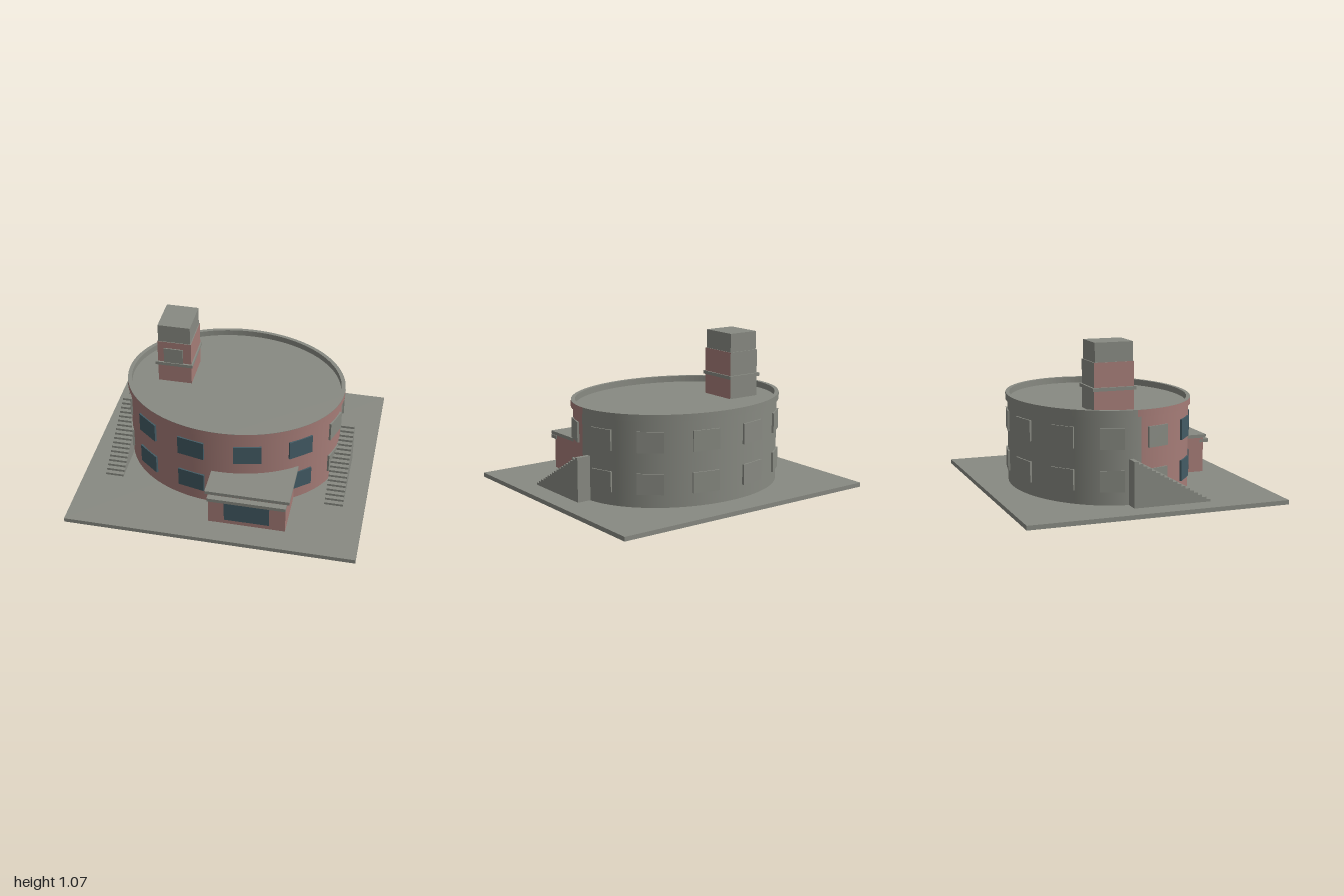
import * as THREE from 'three';

export function createModel() {
  const root = new THREE.Group();
  const mat = (name, color) => {
    const m = new THREE.MeshStandardMaterial({ color });
    m.name = name;
    return m;
  };
  const red = mat('brick red', 0xa57c77);
  const grey = mat('concrete grey', 0x888a82);
  const glass = mat('window glass', 0x435b64);

  const add = (name, geometry, material, parent = root) => {
    const mesh = new THREE.Mesh(geometry, material);
    mesh.name = name;
    parent.add(mesh);
    return mesh;
  };
  // Box given by its minimum and maximum on each axis
  const block = (name, [x0, x1], [y0, y1], [z0, z1], material, parent = root) => {
    const g = new THREE.BoxGeometry(x1 - x0, y1 - y0, z1 - z0);
    g.translate((x0 + x1) / 2, (y0 + y1) / 2, (z0 + z1) / 2);
    return add(name, g, material, parent);
  };
  const group = (name) => {
    const g = new THREE.Group();
    g.name = name;
    root.add(g);
    return g;
  };

  block('base', [-1, 1], [0, 0.03], [-0.9, 0.9], grey);

  // Oval drum: painted front arc, bare back arc
  const CZ = -0.083, A = 0.755, B = 0.61;
  const arc = (name, a, b, y0, y1, from, to, material, parent) => {
    const start = THREE.MathUtils.degToRad(from);
    const length = THREE.MathUtils.degToRad(to - from);
    const g = new THREE.CylinderGeometry(1, 1, y1 - y0, 64, 1, true, start, length);
    g.scale(a, 1, b);
    g.translate(0, (y0 + y1) / 2, CZ);
    return add(name, g, material, parent);
  };
  const drum = group('drum');
  arc('frontWall', A, B, 0.03, 0.61, -87, 87, red, drum);
  arc('backWall', A, B, 0.03, 0.61, 87, 273, grey, drum);

  // Parapet: outer band, top ring with underside, inner face
  const parapet = group('parapet');
  const ellipse = (a, b, Kind = THREE.Shape) =>
    new Kind().absellipse(0, 0, a, b, 0, Math.PI * 2, false, 0);
  arc('frontBand', 0.77, 0.625, 0.61, 0.655, -90, 90, red, parapet);
  arc('backBand', 0.77, 0.625, 0.61, 0.655, 90, 270, grey, parapet);
  const ringShape = ellipse(0.768, 0.623);
  ringShape.holes.push(ellipse(0.74, 0.597, THREE.Path));
  const ring = new THREE.ExtrudeGeometry(ringShape, { depth: 0.045, bevelEnabled: false, curveSegments: 64 });
  ring.rotateX(-Math.PI / 2).translate(0, 0.61, CZ);
  add('parapetRing', ring, grey, parapet);
  const deck = new THREE.ShapeGeometry(ellipse(0.75, 0.605), 64);
  deck.rotateX(-Math.PI / 2).translate(0, 0.612, CZ);
  add('roofDeck', deck, grey);

  // Two rows of twelve flat window panels around the drum
  const windows = group('windows');
  const onWall = (deg) => {
    const t = THREE.MathUtils.degToRad(deg);
    return new THREE.Vector3(A * Math.sin(t), 0, CZ + B * Math.cos(t));
  };
  for (const y of [0.19, 0.47]) {
    for (let deg = -165; deg <= 165; deg += 30) {
      if (y < 0.3 && deg === 15) continue; // covered by the entrance
      const p = onWall(deg - 7.4), q = onWall(deg + 7.4);
      const along = q.clone().sub(p);
      const g = new THREE.BoxGeometry(along.length(), 0.14, 0.022);
      const pane = add('window', g, Math.abs(deg) < 60 ? glass : grey, windows);
      pane.position.copy(p.add(q).multiplyScalar(0.5)).setY(y);
      pane.rotation.y = Math.atan2(-along.z, along.x);
      pane.translateZ(0.003);
    }
  }

  // Entrance block with roof slab, canopy and glazed door
  const entrance = group('entrance');
  block('entranceWalls', [-0.03, 0.5], [0.03, 0.285], [0.2, 0.725], red, entrance);
  block('entranceRoof', [-0.05, 0.525], [0.283, 0.307], [0.2, 0.738], grey, entrance);
  block('canopy', [-0.03, 0.505], [0.245, 0.27], [0.7, 0.767], grey, entrance);
  block('door', [0.08, 0.39], [0.065, 0.245], [0.722, 0.73], glass, entrance);

  // Roof tower: bare on the back only
  const tower = group('tower');
  block('towerShaft', [-0.545, -0.307], [0.61, 0.94], [-0.3, -0.02], [red, red, grey, grey, red, grey], tower);
  block('towerLedge', [-0.56, -0.297], [0.752, 0.775], [-0.313, -0.007], grey, tower);
  block('towerCap', [-0.54, -0.313], [0.94, 1.07], [-0.292, -0.025], grey, tower);
  block('towerPanel', [-0.5, -0.365], [0.775, 0.89], [-0.024, -0.012], grey, tower);

  // Solid outer stairs, one on each side, rising toward the back
  const STEPS = 18, Z0 = 0.4, Z1 = -0.135, Y0 = 0.03, Y1 = 0.335;
  const profile = new THREE.Shape().moveTo(-Z0, Y0);
  for (let i = 0; i < STEPS; i++) {
    const y = Y0 + ((Y1 - Y0) * (i + 1)) / STEPS;
    profile.lineTo(-Z0 + ((Z0 - Z1) * i) / STEPS, y);
    profile.lineTo(-Z0 + ((Z0 - Z1) * (i + 1)) / STEPS, y);
  }
  profile.lineTo(-Z1, Y0);
  for (const x of [0.72, -0.85]) {
    const g = new THREE.ExtrudeGeometry(profile, { depth: 0.13, bevelEnabled: false });
    g.rotateY(Math.PI / 2).translate(x, 0, 0);
    add(x > 0 ? 'leftStairs' : 'rightStairs', g, grey);
  }
  return root;
}
